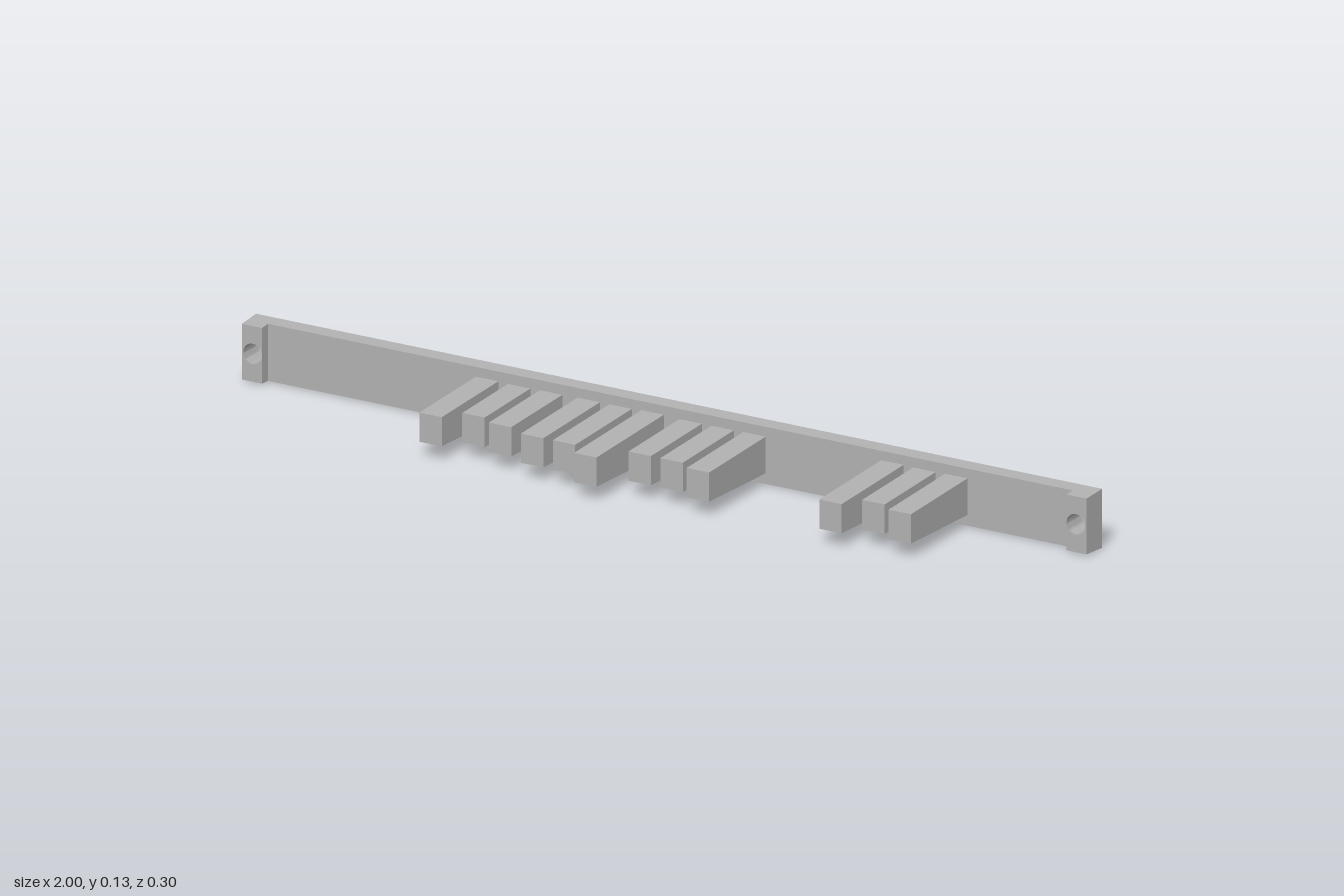
import * as THREE from 'three';
import { toCreasedNormals } from 'three/addons/utils/BufferGeometryUtils.js';

const BACK = -0.149, PLATE_FRONT = -0.115, TAB_FRONT = -0.091;
const MID = 0.0635, HALF = 0.0635, DRAFT = 0.036;
const HOLE_X = 0.973, HOLE_R = 0.022;

// Upright slab between two z depths, pierced by round screw holes, with drafted sides
function slab(x0, x1, z0, z1, holes) {
  const shape = new THREE.Shape([
    new THREE.Vector2(x0, -HALF), new THREE.Vector2(x1, -HALF),
    new THREE.Vector2(x1, HALF), new THREE.Vector2(x0, HALF),
  ]);
  for (const x of holes) {
    const hole = new THREE.Path();
    hole.absarc(x, 0, HOLE_R, 0, Math.PI * 2, true);
    shape.holes.push(hole);
  }
  const geo = new THREE.ExtrudeGeometry(shape, { depth: z1 - z0, bevelEnabled: false, curveSegments: 16 });
  geo.translate(0, 0, z0);
  const p = geo.attributes.position;
  for (let i = 0; i < p.count; i++) {
    const inset = (p.getZ(i) - BACK) * DRAFT * 1.7;
    if (Math.abs(p.getY(i)) > HALF - 0.001) p.setY(i, p.getY(i) - Math.sign(p.getY(i)) * inset);
    if (Math.abs(p.getX(i)) > 0.999) p.setX(i, p.getX(i) - Math.sign(p.getX(i)) * inset * 0.5);
  }
  geo.translate(0, MID, 0);
  return toCreasedNormals(geo, 0.6);
}

// Bar whose top and bottom spread towards the plate
function bar(x, end) {
  const start = PLATE_FRONT - 0.005, length = end - start;
  const geo = new THREE.BoxGeometry(0.053, 0.063, length);
  const p = geo.attributes.position;
  for (let i = 0; i < p.count; i++) {
    if (p.getZ(i) < 0) p.setY(i, p.getY(i) + Math.sign(p.getY(i)) * length * DRAFT);
  }
  geo.translate(x, 0.0645, (start + end) / 2);
  geo.computeVertexNormals();
  return geo;
}

export function createModel() {
  const group = new THREE.Group();
  const grey = new THREE.MeshStandardMaterial({ color: 0xb0b0b0 });
  grey.name = 'grey';
  const add = (name, geo) => {
    const mesh = new THREE.Mesh(geo, grey);
    mesh.name = name;
    group.add(mesh);
  };

  // Long backing plate with a raised mounting tab at each end
  add('backPlate', slab(-1, 1, BACK, PLATE_FRONT, [-HOLE_X, HOLE_X]));
  add('rightTab', slab(-1, -0.951, PLATE_FRONT, TAB_FRONT, [-HOLE_X]));
  add('leftTab', slab(0.951, 1, PLATE_FRONT, TAB_FRONT, [HOLE_X]));

  // Bars in groups of three: first x, then the three front ends
  const rows = [
    [-0.433, 0.107, 0.064, 0.085],
    [-0.193, 0.107, 0.107, 0.149],
    [0.048, 0.085, 0.085, 0.107],
    [0.525, 0.128, 0.085, 0.107],
  ];
  for (const [x, ...ends] of rows) {
    ends.forEach((end, i) => add('bar', bar(x + i * 0.0755, end)));
  }
  return group;
}
